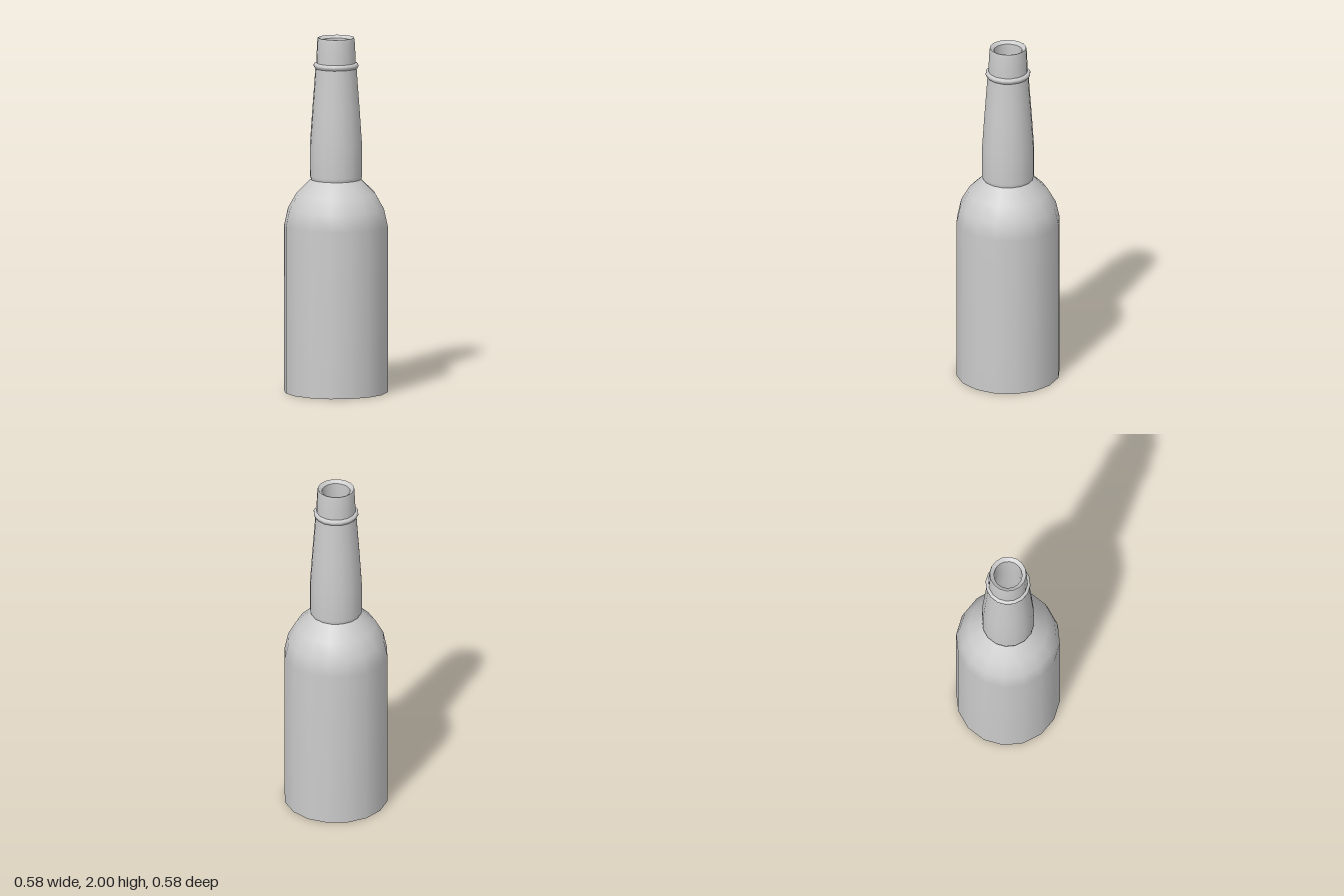
import * as THREE from 'three';

const SIDES = 16;

export function createModel() {
  const bottle = new THREE.Group();
  bottle.name = 'bottle';
  const material = new THREE.MeshStandardMaterial({ color: 0xcccccc });

  // Each part is its own lathe, so edges between parts stay sharp.
  function addLathe(name, profile) {
    const points = profile.map(([r, y]) => new THREE.Vector2(r, y));
    const mesh = new THREE.Mesh(new THREE.LatheGeometry(points, SIDES), material);
    mesh.name = name;
    bottle.add(mesh);
  }

  addLathe('base', [[0, 0], [0.291, 0]]);

  // Straight wall rounding into the shoulder
  addLathe('body', [
    [0.291, 0], [0.291, 0.94], [0.27, 1.035], [0.222, 1.12], [0.141, 1.2],
  ]);

  // Neck, slightly tucked in at its foot and tapering upward
  addLathe('neck', [
    [0.141, 1.2], [0.147, 1.22], [0.146, 1.4], [0.134, 1.58], [0.122, 1.74], [0.116, 1.83],
  ]);

  // Thin collar below the mouth
  addLathe('collar', [
    [0.112, 1.826], [0.12, 1.828], [0.126, 1.84], [0.126, 1.848], [0.12, 1.856], [0.109, 1.858],
  ]);

  // Mouth: outer wall, flat rim
  addLathe('lip', [[0.11, 1.855], [0.109, 1.91], [0.105, 1.985], [0.102, 2]]);
  addLathe('rim', [[0.102, 2], [0.097, 2], [0.079, 1.985]]);

  // Hollow inside, from the mouth down to the floor
  addLathe('bore', [
    [0.079, 1.985], [0.079, 1.83], [0.1, 1.6], [0.12, 1.2],
    [0.2, 1.1], [0.26, 0.94], [0.26, 0.03],
  ]);
  addLathe('innerFloor', [[0.26, 0.03], [0, 0.03]]);

  return bottle;
}
